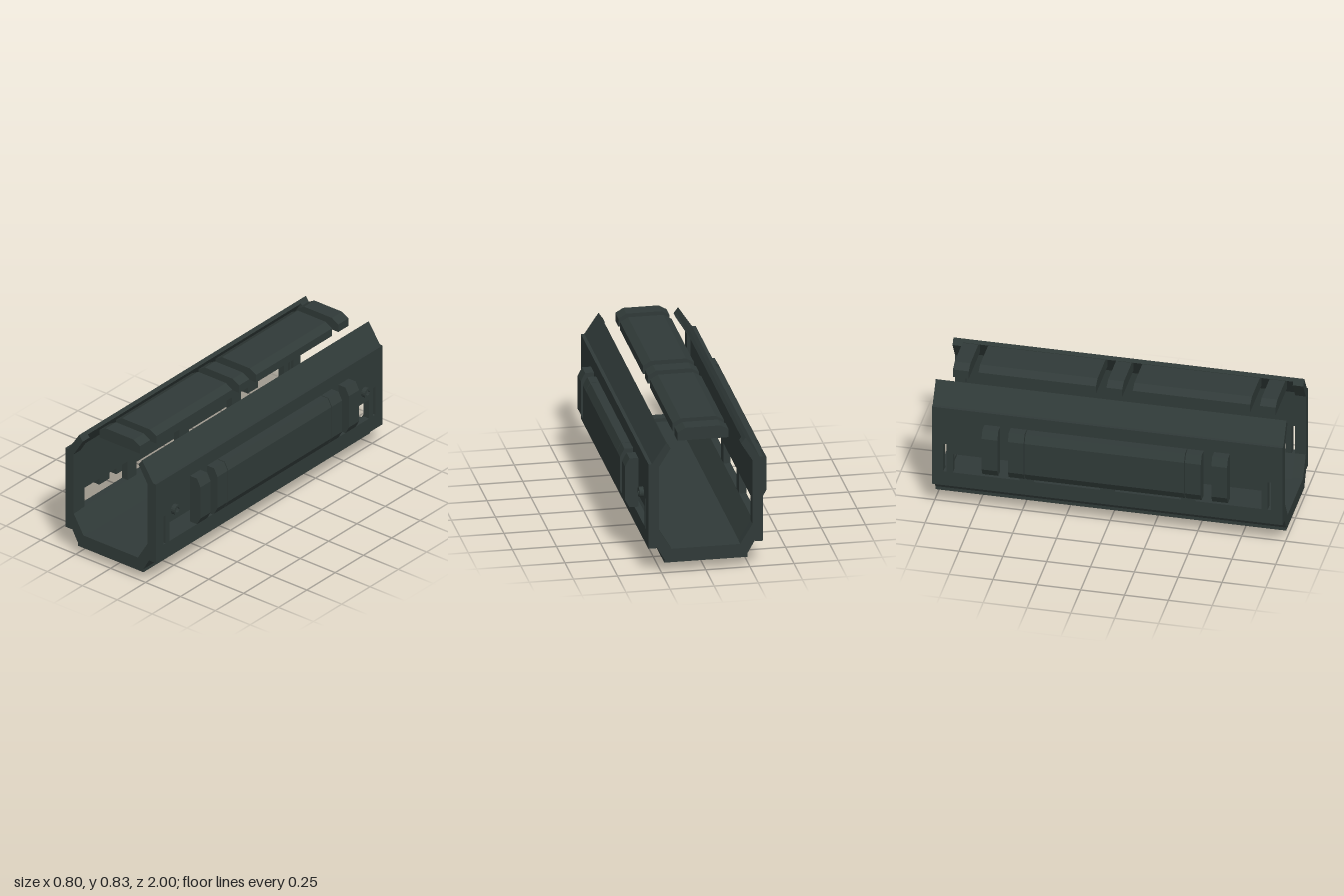
import * as THREE from 'three';

const gunmetal = new THREE.MeshStandardMaterial({ color: 0x303a38 });
gunmetal.name = 'darkGunmetal';

const toPath = (points, PathType = THREE.Shape) => new PathType(points.map(([x, y]) => new THREE.Vector2(x, y)));
const mirrorX = (points) => points.map(([x, y]) => [-x, y]);
const rect = (x0, x1, y0, y1) => [[x0, y0], [x1, y0], [x1, y1], [x0, y1]];

// Closes a half outline (x > 0) with its mirror image
const symmetric = (half) => [...half, ...mirrorX(half).reverse()];

export function createModel() {
  const group = new THREE.Group();
  group.name = 'railHandguard';

  const add = (name, geometry) => {
    const mesh = new THREE.Mesh(geometry, gunmetal);
    mesh.name = name;
    group.add(mesh);
  };

  // Cross-section in the xy plane, run from z0 to z1
  const run = (name, points, z0, z1) => {
    const geometry = new THREE.ExtrudeGeometry(toPath(points), { depth: z1 - z0, bevelEnabled: false });
    add(name, geometry.translate(0, 0, z0));
  };

  // Outline in the zy plane with holes, run from x0 to x1
  const plate = (name, shape, holes, x0, x1) => {
    shape.holes.push(...holes);
    const geometry = new THREE.ExtrudeGeometry(shape, { depth: x1 - x0, bevelEnabled: false, curveSegments: 8 });
    add(name, geometry.rotateY(Math.PI / 2).translate(x0, 0, 0));
  };

  // Trough-shaped floor
  run('floor', symmetric([
    [0.207, 0.12], [0.285, 0.24], [0.285, 0.15], [0.28, 0.15],
    [0.28, 0.16], [0.235, 0.08], [0.235, 0.06],
  ]), -1, 1);

  // Side walls with windows and end slots
  const openings = [
    [-0.88, -0.5, 0.24, 0.36], [-0.42, -0.04, 0.24, 0.36],
    [0.04, 0.42, 0.24, 0.36], [0.5, 0.88, 0.24, 0.36],
    [-0.935, -0.915, 0.24, 0.42], [0.915, 0.935, 0.24, 0.42],
  ];
  const wall = (name, x0, x1) => plate(name, toPath(rect(-1, 1, 0.15, 0.655)),
    openings.map((o) => toPath(rect(...o), THREE.Path)), x0, x1);
  wall('leftWall', 0.285, 0.325);
  wall('rightWall', -0.325, -0.285);

  // Sloped upper flanges
  const flange = [[0.285, 0.655], [0.305, 0.655], [0.225, 0.775], [0.212, 0.756], [0.285, 0.642]];
  run('leftFlange', flange, -1, 1);
  run('rightFlange', mirrorX(flange), -1, 1);

  // Raised inner rims at both ends
  const rim = [
    ...symmetric([[0.212, 0.756], [0.285, 0.642], [0.285, 0.24], [0.207, 0.12]]),
    ...symmetric([[0.2, 0.74], [0.265, 0.635], [0.265, 0.255], [0.195, 0.14]]).reverse(),
  ];
  run('frontRim', rim, 0.94, 1);
  run('backRim', rim, -1, -0.94);

  // Chamfered ribs and grip panels on the sides and underside
  const side = [[0.325, 0.285], [0.375, 0.285], [0.4, 0.33], [0.4, 0.53], [0.375, 0.577], [0.325, 0.577]];
  const under = symmetric([[0.1, 0], [0.145, 0.03], [0.145, 0.06]]);
  const gripSpans = [[-0.7, -0.61], [-0.55, -0.46], [-0.455, 0.455], [0.46, 0.55], [0.61, 0.7]];
  for (const [z0, z1] of gripSpans) {
    const kind = z1 - z0 > 0.5 ? 'Panel' : 'Rib';
    run('left' + kind, side, z0, z1);
    run('right' + kind, mirrorX(side), z0, z1);
    run('bottom' + kind, under, z0, z1);
  }

  // Top cover ribs and panels
  const top = symmetric([[0.145, 0.752], [0.145, 0.8], [0.1, 0.826]]);
  const topSpans = [[-0.92, -0.83], [-0.775, -0.105], [-0.045, 0.045], [0.105, 0.775], [0.83, 0.92]];
  for (const [z0, z1] of topSpans) run(z1 - z0 > 0.5 ? 'topPanel' : 'topRib', top, z0, z1);

  // Socket bolts on the left wall
  for (const z of [-0.84, 0.84]) {
    const head = new THREE.Shape().absarc(-z, 0.43, 0.03, 0, Math.PI * 2);
    const socket = [0, 1, 2, 3, 4, 5].map((i) => [
      -z + 0.016 * Math.cos(i * Math.PI / 3), 0.43 + 0.016 * Math.sin(i * Math.PI / 3),
    ]);
    plate('bolt', head, [toPath(socket, THREE.Path)], 0.325, 0.35);
  }

  return group;
}
